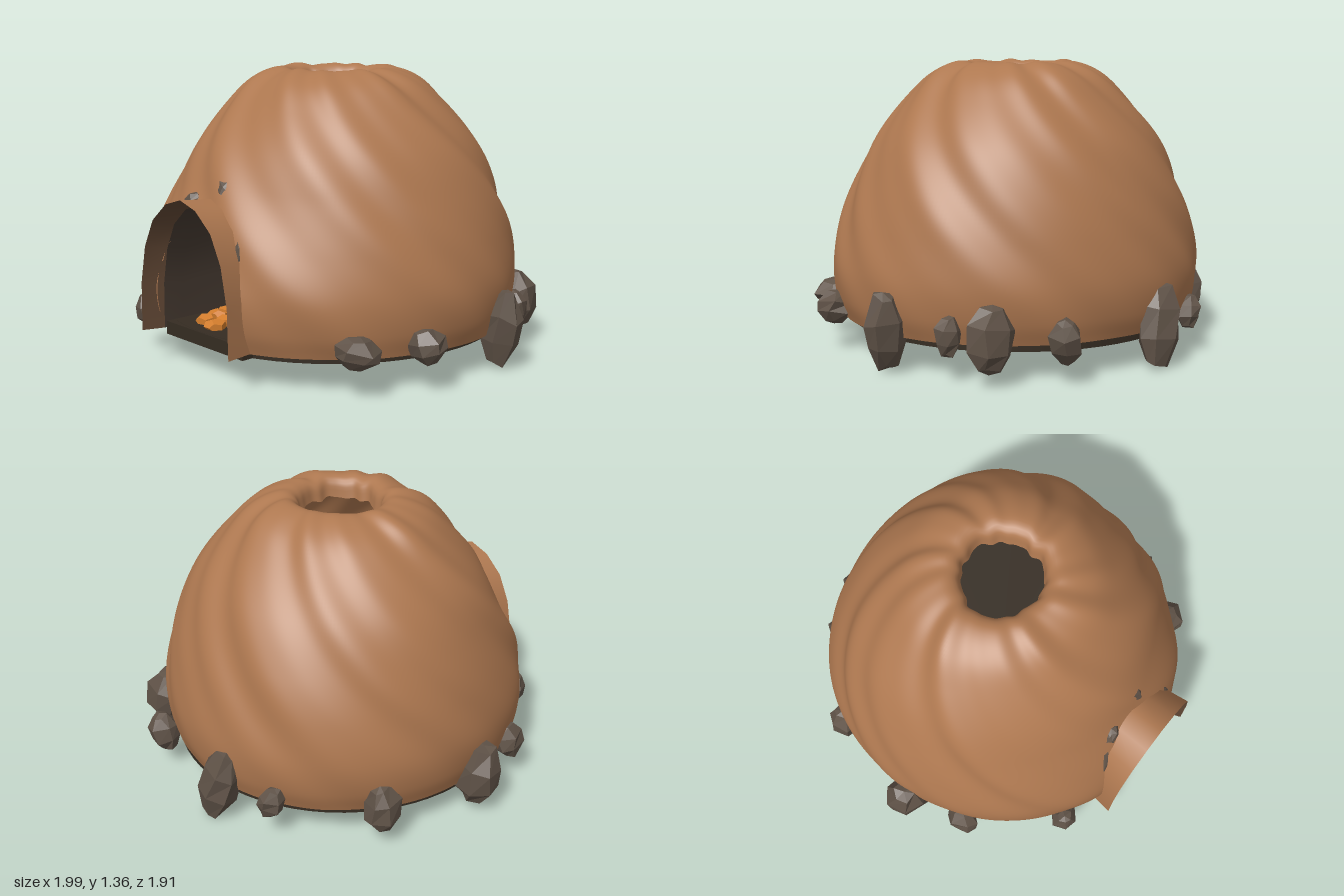
import * as THREE from 'three';

const mat = (name, color, extra = {}) => {
  const m = new THREE.MeshStandardMaterial({ color, ...extra });
  m.name = name;
  return m;
};
const both = { side: THREE.DoubleSide };

// Grid surface from fn(u, v); closed wraps in u, skip drops quads by their centre
function surface(nu, nv, fn, closed = false, skip = () => false) {
  const cols = closed ? nu : nu + 1;
  const pts = [], index = [];
  for (let j = 0; j <= nv; j++)
    for (let i = 0; i < cols; i++) pts.push(fn(i / nu, j / nv));
  for (let j = 0; j < nv; j++)
    for (let i = 0; i < nu; i++) {
      const n = (i + 1) % cols;
      const a = j * cols + i, c = j * cols + n, b = a + cols, d = c + cols;
      const mid = pts[a].clone().add(pts[d]).multiplyScalar(0.5);
      if (!skip(mid)) index.push(a, b, c, b, d, c);
    }
  const g = new THREE.BufferGeometry().setFromPoints(pts);
  g.setIndex(index);
  g.computeVertexNormals();
  return g;
}

// Doorway arch: half outline from the foot to the crown, in unit width and height
const CX = 0.02, FOOT = 0.165;
const HALF = [[1, 0], [0.985, 0.35], [0.87, 0.62], [0.66, 0.82], [0.34, 0.95], [0, 1]];
const ARCH = [...HALF, ...HALF.slice(0, -1).reverse().map(([x, y]) => [-x, y])];

function insideArch(x, y, w, h) {
  const t = (y - FOOT) / h;
  if (t >= 1) return false;
  let k = 0;
  while (k < HALF.length - 2 && HALF[k + 1][1] < t) k++;
  const [x0, y0] = HALF[k], [x1, y1] = HALF[k + 1];
  const half = t < 0 ? 1 : x0 + ((x1 - x0) * (t - y0)) / (y1 - y0);
  return Math.abs(x - CX) < half * w;
}

// Arch swept through rings [half width, height, z], front ring first
function tunnel(rings) {
  const n = rings.length - 1, m = ARCH.length - 1;
  return surface(m, n, (u, v) => {
    const [w, h, z] = rings[Math.round(v * n)];
    const [x, y] = ARCH[Math.round(u * m)];
    return new THREE.Vector3(CX + x * w, FOOT + y * h, z);
  });
}

// Dome with folds that wind down from the smoke hole
function domeGeometry() {
  const { smoothstep } = THREE.MathUtils;
  const profile = new THREE.CatmullRomCurve3(
    [[0.86, 0.163], [0.89, 0.26], [0.9, 0.4], [0.86, 0.6], [0.79, 0.8], [0.69, 1.0], [0.54, 1.19],
      [0.425, 1.3], [0.32, 1.352], [0.25, 1.36], [0.208, 1.335], [0.19, 1.26]]
      .map(([r, y]) => new THREE.Vector3(r, y, 0)), false, 'centripetal');
  return surface(280, 90, (u, v) => {
    const p = profile.getPointAt(v);
    const a = u * Math.PI * 2;
    const s = a - 2.2 * v + 0.6 * v * v;
    const fold = 0.6 * Math.cos(11 * s) + 0.5 * Math.cos(7 * s + 1) + 0.3 * Math.cos(17 * s + 2);
    const low = 1 - smoothstep(v, 0.15, 0.45);
    const bulge = 0.03 * low * Math.max(0, Math.sin(a)) ** 2;
    const r = p.x + bulge + fold * (0.003 + 0.012 * smoothstep(v, 0.05, 0.4)) * Math.min(1, p.x / 0.4)
      + 0.007 * Math.cos(3 * a + 4 * v);
    const y = p.y + 0.006 * fold * smoothstep(v, 0.7, 0.85);
    return new THREE.Vector3(0.01 + r * Math.cos(a), y, 0.008 * low + r * 0.98 * Math.sin(a));
  }, true, (c) => c.z > 0.3 && insideArch(c.x, c.y, 0.287, 0.634));
}

// Faceted stone of unit half size, jittered by seed
function stoneGeometry(seed) {
  let s = seed * 7919 + 13;
  const rnd = () => ((s = (s * 16807) % 2147483647) / 2147483647);
  const sides = 6, rows = [[0.52, -0.92], [1, -0.4], [1.04, 0.3], [0.55, 0.9]];
  const pts = rows.map(([r, y]) => Array.from({ length: sides }, (_, i) => {
    const a = ((i + 0.4 * rnd()) / sides) * Math.PI * 2;
    const k = r * (0.9 + 0.2 * rnd());
    return new THREE.Vector3(Math.cos(a) * k, y + (rnd() - 0.5) * 0.2, Math.sin(a) * k);
  }));
  const tris = [];
  for (let i = 0; i < sides; i++) {
    const n = (i + 1) % sides;
    for (let j = 0; j < 3; j++) {
      const a = pts[j][i], b = pts[j + 1][i], c = pts[j][n], d = pts[j + 1][n];
      tris.push(a, b, c, b, d, c);
    }
    tris.push(new THREE.Vector3(0, -1, 0), pts[0][i], pts[0][n]);
    tris.push(new THREE.Vector3(0, 1, 0), pts[3][n], pts[3][i]);
  }
  const g = new THREE.BufferGeometry().setFromPoints(tris);
  g.computeVertexNormals();
  return g;
}

export function createModel() {
  const model = new THREE.Group();
  const clay = mat('clay', 0xae7850, both);
  const firedClay = mat('fired clay', 0x614734, both);
  const soot = mat('soot', 0x463a31, both);
  const earth = mat('dark earth', 0x352c22);
  const rock = mat('rock', 0x5f5247);
  const ember = mat('ember', 0xd27c2c);
  const coal = mat('coal', 0x26211d);

  const add = (name, geometry, material, parent = model) => {
    const m = new THREE.Mesh(geometry, material);
    m.name = name;
    parent.add(m);
    return m;
  };
  const group = (name) => {
    const g = new THREE.Group();
    g.name = name;
    model.add(g);
    return g;
  };

  // Clay shell, floor and the dark doorstep that closes its front edge
  add('dome', domeGeometry(), clay);
  const floor = add('floor', new THREE.CylinderGeometry(0.83, 0.83, 0.065, 64), earth);
  floor.position.set(0.005, 0.165, 0.005);
  const step = add('doorstep', new THREE.BoxGeometry(0.56, 0.063, 0.1), earth);
  step.position.set(CX, 0.165, 0.79);

  // Flared entrance: clay outside, darker mouth and sooty lining
  add('entranceShell', tunnel([[0.32, 0.66, 0.95], [0.298, 0.645, 0.78], [0.285, 0.63, 0.6]]), clay);
  add('entranceMouth', tunnel([[0.32, 0.66, 0.95], [0.282, 0.624, 0.85]]), firedClay);
  add('entranceLining', tunnel([[0.282, 0.624, 0.85], [0.272, 0.612, 0.75], [0.265, 0.6, 0.45]]), soot);

  // Ring of stones round the foot: x, y, z, half sizes, lean
  const stones = group('footStones');
  [
    [-0.14, 0.2, -0.86, 0.105, 0.19, 0.085, 0.22],
    [0.38, 0.2, -0.83, 0.075, 0.1, 0.07, -0.2],
    [0.65, 0.21, -0.65, 0.1, 0.15, 0.085, 0.15],
    [0.76, 0.21, -0.49, 0.06, 0.09, 0.055, 0.1],
    [0.9, 0.2, -0.21, 0.09, 0.18, 0.08, -0.12],
    [0.88, 0.21, 0.28, 0.08, 0.08, 0.085, 0.2],
    [0.73, 0.21, 0.56, 0.095, 0.07, 0.1, -0.15],
    [-0.47, 0.2, 0.79, 0.07, 0.08, 0.06, 0.15],
    [-0.8, 0.22, 0.39, 0.07, 0.09, 0.08, -0.2],
    [-0.885, 0.21, 0.09, 0.11, 0.155, 0.105, 0.1],
    [-0.78, 0.2, -0.42, 0.075, 0.12, 0.09, -0.1],
    [-0.42, 0.2, -0.78, 0.06, 0.08, 0.055, 0.2],
  ].forEach(([x, y, z, sx, sy, sz, lean], i) => {
    const m = add('footStone', stoneGeometry(i + 1), rock, stones);
    m.position.set(x, y, z);
    m.scale.set(sx, sy, sz);
    m.rotation.set(lean * 0.7, 0, lean);
  });

  // Stones sunk almost flush in the clay round the doorway
  const doorStones = group('doorStones');
  [[0.065, 0.865, 0.738, 0.075, 0.042, -0.6], [-0.125, 0.785, 0.77, 0.05, 0.032, 0.5],
    [0.245, 0.66, 0.79, 0.018, 0.11, 0.4], [-0.205, 0.66, 0.79, 0.018, 0.11, -0.4]]
    .forEach(([x, y, z, sx, sy, turn], i) => {
      const m = add('doorStone', stoneGeometry(i + 31), rock, doorStones);
      m.position.set(x, y, z);
      m.scale.set(sx, sy, 0.032);
      m.rotation.set(-0.4, 0, turn);
    });

  // Glowing embers and spent coals on the floor, in rows that slant towards the door
  const hearth = group('hearth');
  const lump = new THREE.DodecahedronGeometry(1, 0);
  const scatter = (name, material, cx, cz, rows, size) => {
    for (let r = 0; r < rows; r++)
      for (let c = 0; c < 2; c++) {
        const m = add(name, lump, material, hearth);
        const dz = (r - (rows - 1) / 2) * 0.08;
        m.position.set(cx + (c - 0.5) * 0.1 + dz * 0.25, 0.21, cz + dz + c * 0.03);
        m.scale.set(size, size * 0.6, size);
        m.rotation.y = r * 1.3 + c * 0.8;
      }
  };
  scatter('ember', ember, -0.085, 0.6, 4, 0.055);
  scatter('coal', coal, 0.16, 0.58, 2, 0.05);

  return model;
}
